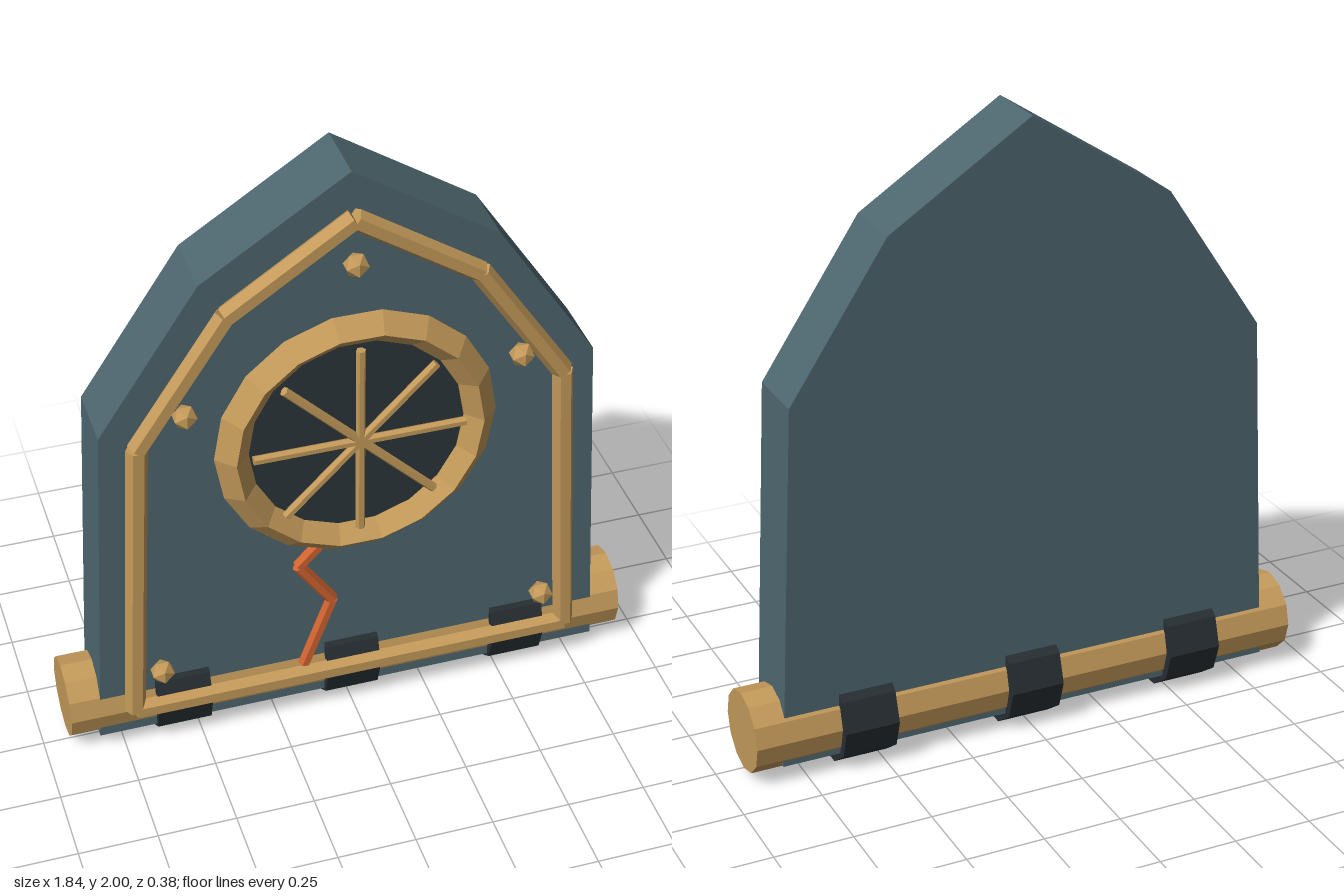
import * as THREE from 'three';

const mat = (color) => new THREE.MeshStandardMaterial({ color, flatShading: true });

export function createModel() {
  const model = new THREE.Group();
  const slate = mat(0x4d666e), brass = mat(0xc49a5a), iron = mat(0x262e32);
  const glass = mat(0x2b353b), copper = mat(0xd0642f);

  const add = (name, geometry, material, x = 0, y = 0, z = 0) => {
    const mesh = new THREE.Mesh(geometry, material);
    mesh.name = name;
    mesh.position.set(x, y, z);
    model.add(mesh);
    return mesh;
  };

  // Straight bar between two points in a plane of constant z, flat side forward
  const bar = (name, [x1, y1], [x2, y2], z, radius, sides, material) => {
    const length = Math.hypot(x2 - x1, y2 - y1);
    const geometry = new THREE.CylinderGeometry(radius, radius, length, sides);
    geometry.rotateY(Math.PI / sides);
    geometry.rotateZ(Math.atan2(y2 - y1, x2 - x1) - Math.PI / 2);
    add(name, geometry, material, (x1 + x2) / 2, (y1 + y2) / 2, z);
  };

  // Bars along a chain of points
  const chain = (name, points, ...rest) => {
    for (let i = 1; i < points.length; i++) bar(name, points[i - 1], points[i], ...rest);
  };

  // Pointed door panel
  const half = [[0.83, 0.06], [0.77, 1.23], [0.455, 1.705]];
  const outline = [...half, [0, 2], ...half.map(([x, y]) => [-x, y]).reverse()];
  const shape = new THREE.Shape(outline.map(([x, y]) => new THREE.Vector2(x, y)));
  add('panel', new THREE.ExtrudeGeometry(shape, { depth: 0.22, bevelEnabled: false }), slate, 0, 0, -0.14);

  // Hinge roller with three clamps
  const roller = (name, radius, length, sides, material, x) =>
    add(name, new THREE.CylinderGeometry(radius, radius, length, sides).rotateZ(Math.PI / 2), material, x, 0.153, -0.035);
  roller('hingeRoller', 0.131, 1.84, 12, brass, 0);
  for (const x of [-0.557, 0, 0.557]) roller('hingeClamp', 0.16, 0.175, 10, iron, x);

  // Raised trim following the panel edge
  for (const s of [-1, 1]) {
    chain('trim', [[s * 0.717, 0.17], [s * 0.663, 1.19], [s * 0.385, 1.605], [0, 1.86]], 0.106, 0.034, 6, brass);
  }
  bar('bottomTrim', [-0.715, 0.17], [0.715, 0.17], 0.106, 0.034, 6, brass);

  // Rivets
  for (const [x, y] of [[0, 1.715], [0.52, 1.29], [-0.52, 1.29], [0.627, 0.32], [-0.627, 0.32]]) {
    add('rivet', new THREE.IcosahedronGeometry(0.04, 0), brass, x, y, 0.125);
  }

  // Round window: faceted ring, dark pane and crossing spokes
  const cy = 1.12;
  add('windowRing', new THREE.TorusGeometry(0.385, 0.055, 4, 18), brass, 0, cy, 0.135);
  add('windowPane', new THREE.CylinderGeometry(0.345, 0.345, 0.07, 18).rotateX(Math.PI / 2), glass, 0, cy, 0.105);
  for (let i = 0; i < 4; i++) {
    const dx = 0.33 * Math.cos(i * Math.PI / 4), dy = 0.33 * Math.sin(i * Math.PI / 4);
    bar('windowSpoke', [-dx, cy - dy], [dx, cy + dy], 0.173, 0.015, 6, brass);
  }

  // Jagged copper crack below the window
  chain('crack', [[-0.16, 0.2], [-0.066, 0.45], [-0.175, 0.61], [-0.06, 0.73]], 0.092, 0.021, 6, copper);

  return model;
}
